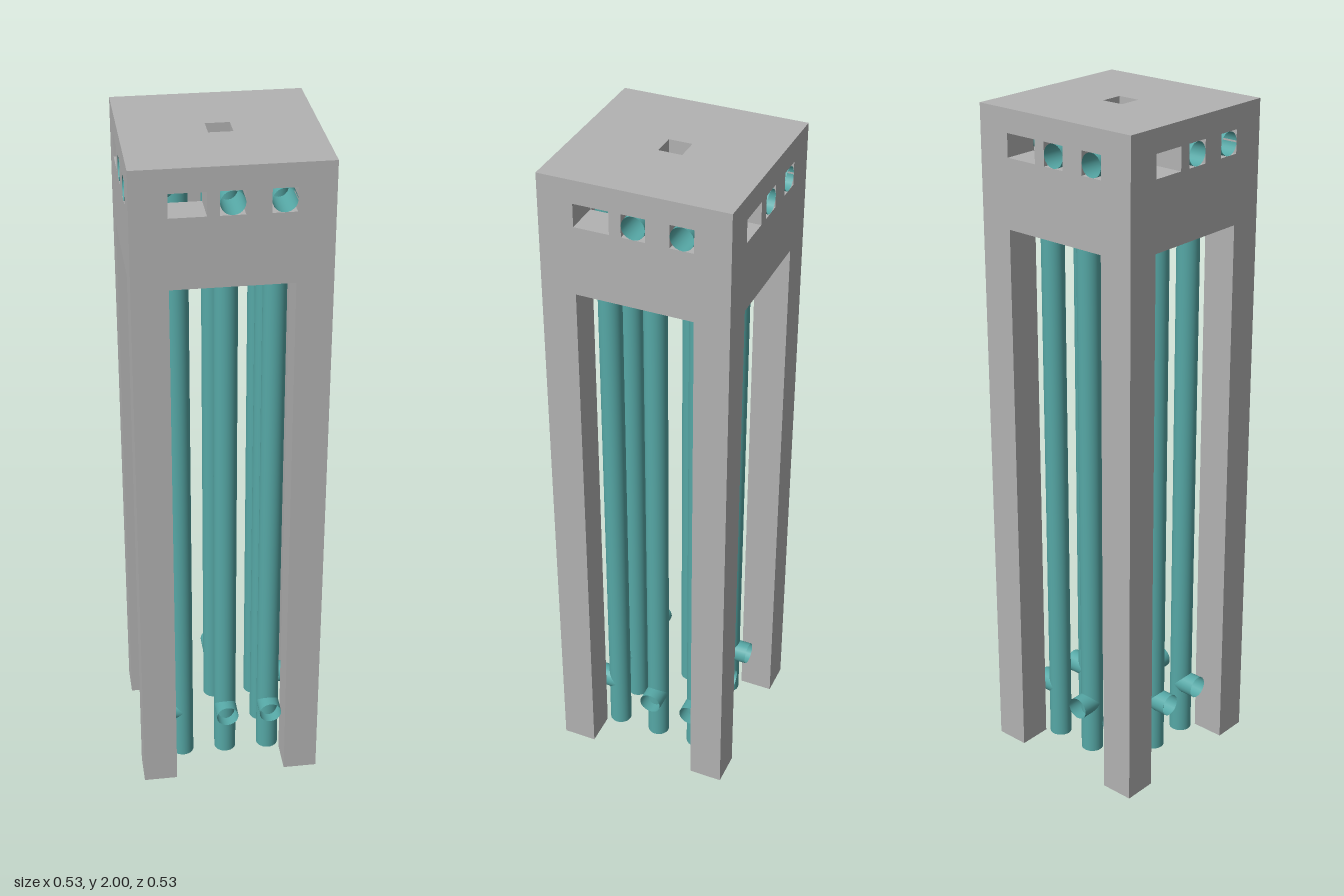
import * as THREE from 'three';

const U = 1 / 30; // construction unit: the tower is 16 x 60 x 16 units

function rect(T, x0, y0, x1, y1) {
  const s = new T();
  s.moveTo(x0 * U, y0 * U);
  s.lineTo(x1 * U, y0 * U);
  s.lineTo(x1 * U, y1 * U);
  s.lineTo(x0 * U, y1 * U);
  s.closePath();
  return s;
}

export function createModel() {
  const concrete = new THREE.MeshStandardMaterial({ color: 0xb2b2b2 });
  concrete.name = 'concreteGrey';
  const teal = new THREE.MeshStandardMaterial({ color: 0x56a8a6, side: THREE.DoubleSide });
  teal.name = 'pipeTeal';

  const model = new THREE.Group();
  model.name = 'pipeTower';
  const add = (parent, name, geometry, material) => {
    const mesh = new THREE.Mesh(geometry, material);
    mesh.name = name;
    parent.add(mesh);
    return mesh;
  };

  // One wall: a corner leg and the lintel beside it, pierced by three windows
  const wall = new THREE.Shape();
  [[-8, 0], [-5, 0], [-5, 50], [5, 50], [5, 60], [-8, 60]].forEach(([x, y], i) =>
    i ? wall.lineTo(x * U, y * U) : wall.moveTo(x * U, y * U));
  wall.closePath();
  for (const [a, b] of [[-5, -2], [-1, 1], [3, 4.99]]) {
    wall.holes.push(rect(THREE.Path, a, 56, b, 58));
  }
  const wallGeo = new THREE.ExtrudeGeometry(wall, { depth: 3 * U, bevelEnabled: false });
  wallGeo.translate(0, 0, 5 * U);

  // Open pipes: a riser, and outlets pointing at the wall
  const riserGeo = new THREE.CylinderGeometry(U, U, 58 * U, 24, 1, true);
  riserGeo.translate(0, 29 * U, 0);
  const outlet = (length) => {
    const g = new THREE.CylinderGeometry(U, U, length * U, 24, 1, true);
    g.rotateX(Math.PI / 2);
    g.translate(0, 0, length * U / 2);
    return g;
  };
  const lowGeo = outlet(2);
  const highGeo = outlet(4);

  // The four sides repeat by quarter turns
  for (let k = 0; k < 4; k++) {
    const side = new THREE.Group();
    side.name = 'side' + (k + 1);
    side.rotation.y = k * Math.PI / 2;
    add(side, 'wallAndLeg', wallGeo, concrete);
    for (const x of [0, 4]) {
      add(side, 'riserPipe', riserGeo, teal).position.set(x * U, 0, 4 * U);
      add(side, 'lowerOutlet', lowGeo, teal).position.set(x * U, 5 * U, 4 * U);
      add(side, 'upperOutlet', highGeo, teal).position.set(x * U, 57 * U, 4 * U);
    }
    model.add(side);
  }

  // Roof slab between the walls, with a square opening
  const roof = rect(THREE.Shape, -5, -5, 5, 5);
  roof.holes.push(rect(THREE.Path, -1, -1, 1, 1));
  const roofGeo = new THREE.ExtrudeGeometry(roof, { depth: 2 * U, bevelEnabled: false });
  roofGeo.rotateX(-Math.PI / 2);
  add(model, 'roofSlab', roofGeo, concrete).position.y = 58 * U;

  return model;
}
